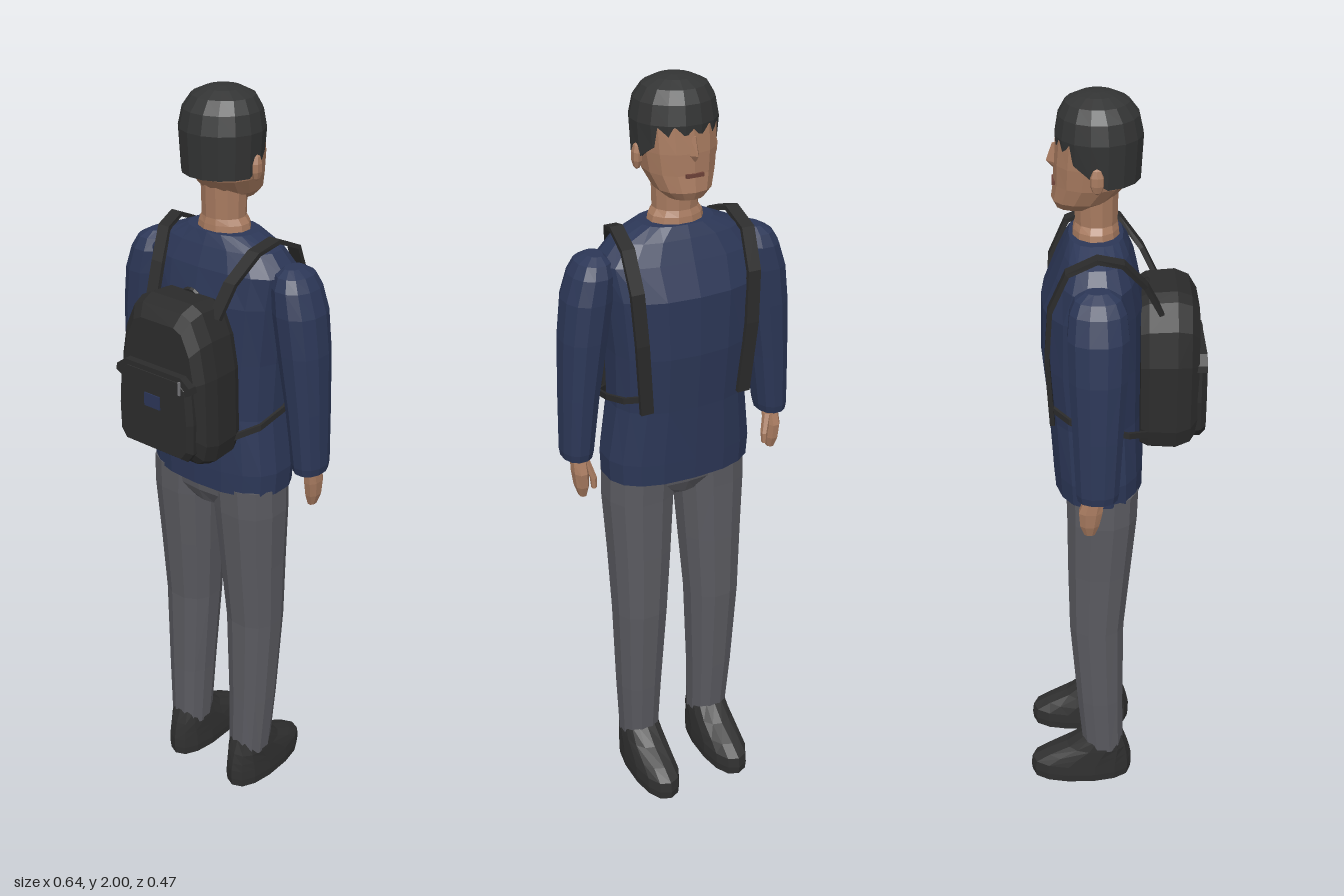
import * as THREE from 'three';

const mat = (name, color) => {
  const m = new THREE.MeshStandardMaterial({ color, flatShading: true, side: THREE.DoubleSide });
  m.name = name;
  return m;
};

// Skin a list of closed rings and cap both ends; winding is fixed from the signed volume.
function loft(rings) {
  const n = rings[0].length, pos = [], tris = [];
  const centre = r => r.reduce((a, p) => a.add(p), new THREE.Vector3()).divideScalar(n);
  const all = [...rings.flat(), centre(rings[0]), centre(rings[rings.length - 1])];
  const last = (rings.length - 1) * n, c0 = rings.length * n;
  for (let j = 0; j < n; j++) {
    const k = (j + 1) % n;
    for (let i = 0; i < last; i += n) tris.push([i + j, i + k, i + n + k], [i + j, i + n + k, i + n + j]);
    tris.push([c0, k, j], [c0 + 1, last + j, last + k]);
  }
  let volume = 0;
  for (const [a, b, c] of tris) volume += all[a].dot(all[b].clone().cross(all[c]));
  for (const [a, b, c] of tris) for (const i of volume > 0 ? [a, b, c] : [a, c, b]) pos.push(...all[i].toArray());
  const g = new THREE.BufferGeometry();
  g.setAttribute('position', new THREE.Float32BufferAttribute(pos, 3));
  g.computeVertexNormals();
  return g;
}

// Horizontal super-ellipse ring
function ring([y, cx, cz, hx, hz], sides, e, s = 1) {
  return Array.from({ length: sides }, (_, i) => {
    const a = ((i + 0.5) / sides) * Math.PI * 2, c = Math.cos(a), d = Math.sin(a);
    const f = v => Math.sign(v) * Math.abs(v) ** (2 / e);
    return new THREE.Vector3(s * (cx + hx * f(c)), y, cz + hz * f(d));
  });
}
const body = (rows, sides = 12, e = 2, s = 1) => loft(rows.map(r => ring(r, sides, e, s)));

// Flat strap following a path, with its width along a given axis
function ribbon(points, axis, width, thick, s) {
  const p = points.map(([x, y, z]) => new THREE.Vector3(s * x, y, z));
  return loft(p.map((q, i) => {
    const t = p[Math.min(i + 1, p.length - 1)].clone().sub(p[Math.max(i - 1, 0)]).normalize();
    const n = t.cross(axis).normalize().multiplyScalar(thick / 2), w = axis.clone().multiplyScalar(width / 2);
    return [[1, 1], [-1, 1], [-1, -1], [1, -1]].map(([a, b]) => q.clone().addScaledVector(w, a).addScaledVector(n, b));
  }));
}

// Upright outline (right half given top to bottom), mirrored and stacked along z
function stack(half, cy, layers) {
  const outline = [...half, ...half.slice().reverse().map(([x, y]) => [-x, y])];
  return loft(layers.map(([z, k, m = k]) => outline.map(([x, y]) => new THREE.Vector3(x * k, cy + (y - cy) * m, z))));
}

export function createModel() {
  const model = new THREE.Group();
  const skin = mat('skin', 0xa87b60), shirt = mat('navy shirt', 0x2c3757), trousers = mat('grey trousers', 0x5a5a60);
  const shoe = mat('shoe black', 0x303030), knit = mat('cap charcoal', 0x333434), pack = mat('pack black', 0x2b2b2b);
  const patch = mat('patch blue', 0x2b3558), metal = mat('zip grey', 0x77777a), lip = mat('lip brown', 0x6e4238);
  const add = (name, geometry, material, parent = model) => {
    const m = new THREE.Mesh(geometry, material);
    m.name = name;
    parent.add(m);
    return m;
  };
  const X = new THREE.Vector3(1, 0, 0), Y = new THREE.Vector3(0, 1, 0);

  // Torso
  add('shirtBody', body([
    [0.99, 0, -0.033, 0.2, 0.116], [1.05, 0, -0.034, 0.203, 0.118], [1.2, 0, -0.04, 0.182, 0.12],
    [1.35, 0, -0.046, 0.186, 0.128], [1.5, 0, -0.045, 0.2, 0.125], [1.58, 0, -0.036, 0.21, 0.1],
    [1.63, 0, -0.035, 0.165, 0.08], [1.66, 0, -0.035, 0.095, 0.066],
  ], 18, 2.5), shirt);
  add('trouserSeat', body([[0.92, 0, -0.025, 0.06, 0.07], [0.96, 0, -0.025, 0.17, 0.09], [1.0, 0, -0.025, 0.19, 0.095]], 14, 2.5), trousers);

  // Neck and head
  add('neck', body([
    [1.64, 0, -0.035, 0.075, 0.06], [1.675, 0, -0.035, 0.068, 0.056], [1.69, 0, -0.034, 0.057, 0.052], [1.8, 0, -0.034, 0.06, 0.055],
  ], 12), skin);
  add('head', body([
    [1.73, 0, -0.08, 0.045, 0.05], [1.75, 0, -0.068, 0.068, 0.072], [1.79, 0, -0.046, 0.085, 0.088],
    [1.84, 0, -0.04, 0.092, 0.093], [1.9, 0, -0.036, 0.095, 0.091], [1.95, 0, -0.035, 0.07, 0.07],
  ], 14, 2.2), skin);
  add('nose', loft([
    [[-0.01, 1.88, -0.12], [0.01, 1.88, -0.12], [0, 1.88, -0.135]],
    [[-0.018, 1.835, -0.12], [0.018, 1.835, -0.12], [0, 1.838, -0.15]],
    [[-0.012, 1.82, -0.12], [0.012, 1.82, -0.12], [0, 1.822, -0.135]],
  ].map(r => r.map(p => new THREE.Vector3(...p)))), skin);
  add('mouth', new THREE.BoxGeometry(0.045, 0.009, 0.009), lip).position.set(0, 1.79, -0.133);

  // Close-fitting cap with its edge rising towards the face
  const capRows = [
    [1.8, 0, -0.028, 0.1, 0.1], [1.905, 0, -0.026, 0.106, 0.104], [1.95, 0, -0.027, 0.097, 0.095],
    [1.98, 0, -0.03, 0.078, 0.075], [1.995, 0, -0.03, 0.045, 0.045], [2.0, 0, -0.03, 0.015, 0.015],
  ].map(r => ring(r, 16, 2));
  for (const p of capRows[0]) p.y += Math.max(0, -0.015 - p.z) * 0.75;
  add('cap', loft(capRows), knit);

  for (const s of [1, -1]) {
    const side = s > 0 ? 'left' : 'right';
    // Ear
    const ear = add(side + 'Ear', new THREE.SphereGeometry(1, 7, 5), skin);
    ear.scale.set(0.012, 0.032, 0.018);
    ear.position.set(s * 0.099, 1.822, -0.033);

    // Sleeve and hand
    add(side + 'Sleeve', body([
      [1.08, 0.281, -0.04, 0.038, 0.05], [1.1, 0.28, -0.04, 0.042, 0.054], [1.25, 0.268, -0.038, 0.05, 0.062],
      [1.4, 0.252, -0.036, 0.06, 0.071], [1.5, 0.238, -0.035, 0.062, 0.074], [1.56, 0.225, -0.035, 0.055, 0.068],
      [1.59, 0.22, -0.035, 0.042, 0.055], [1.605, 0.215, -0.035, 0.02, 0.03],
    ], 12, 2.2, s), shirt);
    add(side + 'Hand', body([
      [0.97, 0.276, -0.06, 0.01, 0.014], [1.0, 0.278, -0.06, 0.018, 0.025], [1.04, 0.28, -0.057, 0.02, 0.031],
      [1.07, 0.279, -0.05, 0.02, 0.027], [1.1, 0.28, -0.045, 0.025, 0.03],
    ], 8, 2.3, s), skin);
    add(side + 'Thumb', body([
      [0.992, 0.25, -0.075, 0.007, 0.008], [1.02, 0.25, -0.073, 0.009, 0.011], [1.07, 0.266, -0.058, 0.012, 0.013],
    ], 6, 2, s), skin);

    // Leg and shoe
    add(side + 'TrouserLeg', body([
      [0.11, 0.11, -0.026, 0.054, 0.058], [0.3, 0.112, -0.034, 0.063, 0.065], [0.56, 0.11, -0.042, 0.075, 0.075],
      [0.75, 0.106, -0.034, 0.085, 0.085], [0.92, 0.104, -0.026, 0.095, 0.093], [1.0, 0.1, -0.025, 0.097, 0.095],
    ], 12, 2.3, s), trousers);
    add(side + 'Shoe', body([
      [0, 0.11, -0.09, 0.058, 0.143], [0.025, 0.11, -0.09, 0.06, 0.146], [0.055, 0.11, -0.088, 0.059, 0.144],
      [0.08, 0.11, -0.07, 0.057, 0.122], [0.11, 0.11, -0.043, 0.055, 0.088], [0.15, 0.11, -0.026, 0.05, 0.057],
    ], 14, 2.3, s), shoe);

    // Shoulder strap and the lower strap back to the bag
    add(side + 'ShoulderStrap', ribbon([
      [0.1, 1.49, 0.12], [0.115, 1.57, 0.08], [0.142, 1.638, 0.025], [0.155, 1.656, -0.035],
      [0.16, 1.625, -0.105], [0.157, 1.53, -0.147], [0.15, 1.4, -0.157], [0.135, 1.21, -0.148],
    ], X, 0.034, 0.012, s), pack);
    add(side + 'LowerStrap', ribbon([
      [0.135, 1.25, -0.148], [0.175, 1.235, -0.105], [0.191, 1.22, -0.04], [0.18, 1.195, 0.04], [0.13, 1.17, 0.1],
    ], Y, 0.016, 0.008, s), pack);
  }

  // Backpack
  const bag = new THREE.Group();
  bag.name = 'backpack';
  model.add(bag);
  add('bagBody', stack([
    [0.065, 1.53], [0.095, 1.515], [0.125, 1.45], [0.142, 1.36], [0.147, 1.18], [0.137, 1.135], [0.115, 1.12],
  ], 1.3, [[0.07, 0.93], [0.09, 0.98], [0.16, 1], [0.195, 0.94], [0.215, 0.8]]), pack, bag);
  const pocketHalf = [[0.09, 1.37], [0.112, 1.35], [0.12, 1.25], [0.118, 1.17], [0.1, 1.145]];
  add('bagPocket', stack(pocketHalf, 1.25, [[0.18, 1], [0.222, 1], [0.236, 0.9]]), pack, bag);
  add('pocketFlap', stack([[0.09, 1.372], [0.117, 1.352], [0.12, 1.335], [0.1, 1.325]], 1.35, [[0.19, 1], [0.235, 1]]), pack, bag);
  add('bagPatch', new THREE.BoxGeometry(0.05, 0.035, 0.006), patch, bag).position.set(0, 1.285, 0.236);
  add('zipPull', new THREE.BoxGeometry(0.006, 0.035, 0.006), metal, bag).position.set(0.088, 1.345, 0.236);
  // Carry loop
  const loop = add('carryLoop', new THREE.TorusGeometry(0.03, 0.006, 5, 10, Math.PI), pack, bag);
  loop.position.set(0, 1.5, 0.09);
  return model;
}
